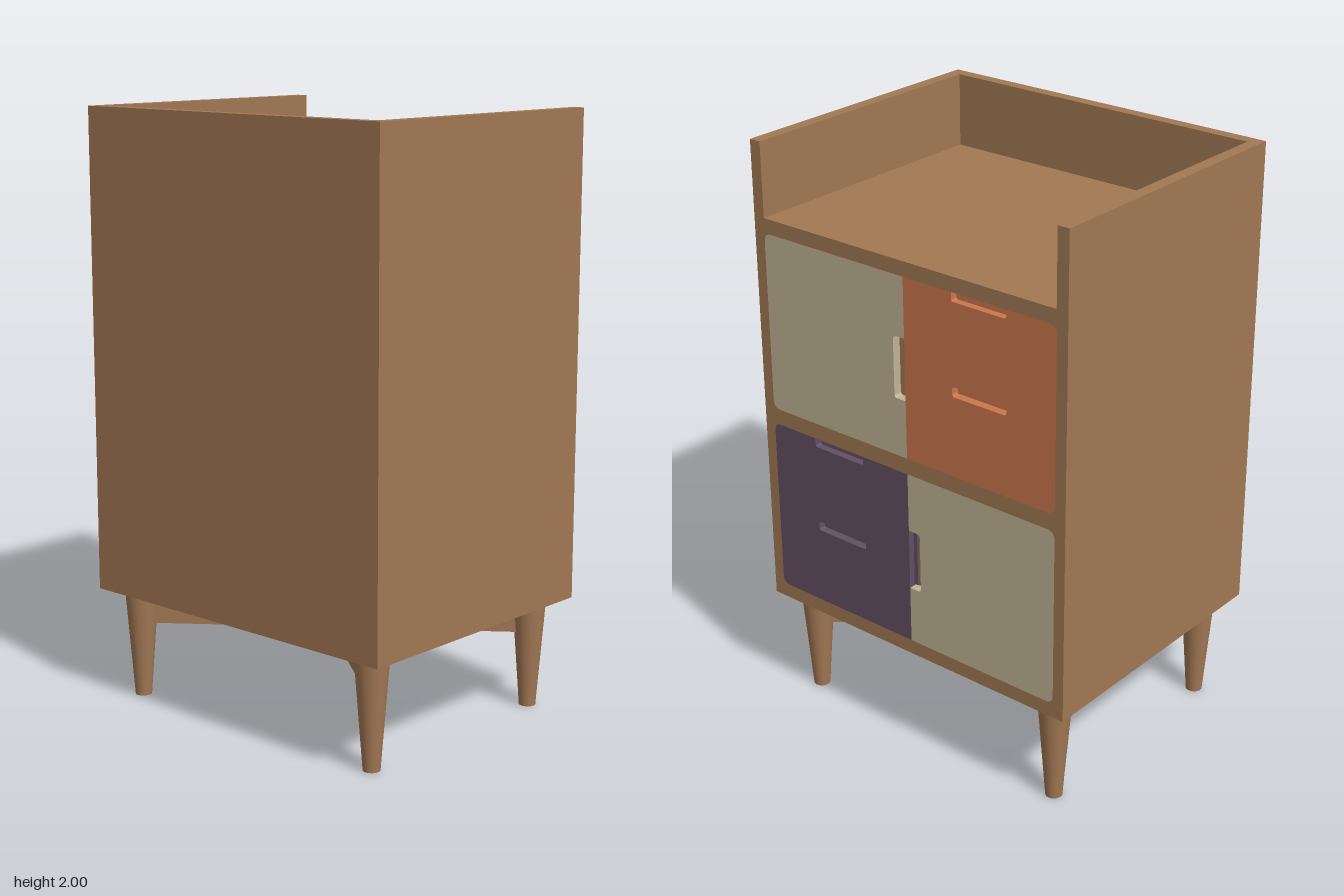
import * as THREE from 'three';

const material = (name, color) => Object.assign(new THREE.MeshStandardMaterial({ color }), { name });

// Half width, depth and levels of the case
const X = 0.496, Z = 0.625, BOTTOM = 0.375, DECK = 1.75, TOP = 2;
// Size and thickness of one front panel, and the base of each row
const W = 0.585, H = 0.61, T = 0.03, R = 0.03;
const LOWER = 0.425, UPPER = 1.09;

export function createModel() {
  const wood = material('brown wood', 0xa27854);
  const cream = material('cream', 0xc2b394);
  const orange = material('orange', 0xca764d);
  const purple = material('purple', 0x635062);
  const model = new THREE.Group();
  model.name = 'cabinet';

  const add = (name, geometry, mat, x = 0, y = 0, z = 0) => {
    const mesh = new THREE.Mesh(geometry, mat);
    mesh.name = name;
    mesh.position.set(x, y, z);
    model.add(mesh);
    return mesh;
  };

  // Closed outline with rounded corners; each point is [x, y, radius]
  const outline = (points, Type = THREE.Shape) => {
    const path = new Type();
    points.forEach(([x, y, r = 0], i) => {
      const p = new THREE.Vector2(x, y);
      const toward = (q) => new THREE.Vector2(q[0], q[1]).sub(p).normalize().multiplyScalar(r).add(p);
      const a = toward(points[(i + points.length - 1) % points.length]);
      const b = toward(points[(i + 1) % points.length]);
      if (i) path.lineTo(a.x, a.y);
      else path.moveTo(a.x, a.y);
      if (r) path.quadraticCurveTo(x, y, b.x, b.y);
    });
    path.closePath();
    return path;
  };
  const rect = (x0, y0, x1, y1, r) => [[x0, y0, r], [x1, y0, r], [x1, y1, r], [x0, y1, r]];

  // Extrude toward the drawer side (+x)
  const facing = (shape, depth = T) =>
    new THREE.ExtrudeGeometry(shape, { depth, bevelEnabled: false, curveSegments: 6 }).rotateY(Math.PI / 2);

  // Solid case behind the panels
  add('caseBody', new THREE.BoxGeometry(2 * X - T, DECK - BOTTOM, 2 * Z), wood, -T / 2, (DECK + BOTTOM) / 2);

  // Face frame with two openings
  const frame = outline(rect(-Z, BOTTOM, Z, DECK, 0));
  for (const y of [LOWER, UPPER]) frame.holes.push(outline(rect(-W, y, W, y + H, R), THREE.Path));
  add('faceFrame', facing(frame), wood, X - T);

  // Tray rim on three sides, open toward the drawers
  const rim = outline([[-X, -Z], [X, -Z], [X, -0.583], [-0.455, -0.583], [-0.455, 0.583], [X, 0.583], [X, Z], [-X, Z]]);
  const rimGeometry = new THREE.ExtrudeGeometry(rim, { depth: TOP - DECK, bevelEnabled: false });
  add('trayRim', rimGeometry.rotateX(-Math.PI / 2), wood, 0, DECK, 0);

  // Door with a grip notch at the middle edge; side is +1 or -1
  const addDoor = (name, side, y) => {
    const points = [[0, 0], [W, 0, R], [W, H, R], [0, H], [0, 0.408], [0.046, 0.408, 0.012], [0.046, 0.198, 0.012], [0, 0.198]];
    add(name, facing(outline(points.map(([u, v, r]) => [side * u, v, r]))), cream, X - T, y);
  };
  addDoor('upperDoor', -1, UPPER);
  addDoor('lowerDoor', 1, LOWER);

  // Drawer front with a notch at the top, a slot in the middle and coloured recess floors
  const addDrawer = (name, side, y, mat) => {
    const points = [[0, 0], [W, 0, R], [W, H, R], [0.4, H], [0.4, H - 0.03, 0.008], [0.19, H - 0.03, 0.008], [0.19, H], [0, H]];
    const shape = outline(points.map(([u, v, r]) => [side * u, v, r]));
    const [u0, u1] = side > 0 ? [0.19, 0.4] : [-0.4, -0.19];
    shape.holes.push(outline(rect(u0, 0.27, u1, 0.305, 0.01), THREE.Path));
    add(name, facing(shape), mat, X - T, y);
    for (const v of [0.2875, H - 0.015]) {
      add(name + 'Recess', new THREE.BoxGeometry(0.005, 0.03, 0.208), mat, X - T + 0.0025, y + v, -side * 0.295);
    }
  };
  addDrawer('upperDrawer', 1, UPPER, orange);
  addDrawer('lowerDrawer', -1, LOWER, purple);
  // Drawer edge showing inside the lower door's grip
  add('lowerDrawerEdge', new THREE.BoxGeometry(0.008, 0.2, 0.015), purple, X - T + 0.004, LOWER + 0.303, -0.0075);

  // Tapered legs
  const leg = new THREE.CylinderGeometry(0.057, 0.028, BOTTOM, 24);
  for (const x of [-0.4, 0.4]) {
    for (const z of [-0.52, 0.52]) add('leg', leg, wood, x, BOTTOM / 2, z);
  }

  // Crossed stretchers between opposite legs
  const stretcher = new THREE.BoxGeometry(2 * Math.hypot(0.4, 0.52), 0.115, 0.045);
  for (const s of [-1, 1]) {
    add('stretcher', stretcher, wood, 0, 0.3175, 0).rotation.y = s * Math.atan2(0.52, 0.4);
  }
  return model;
}
